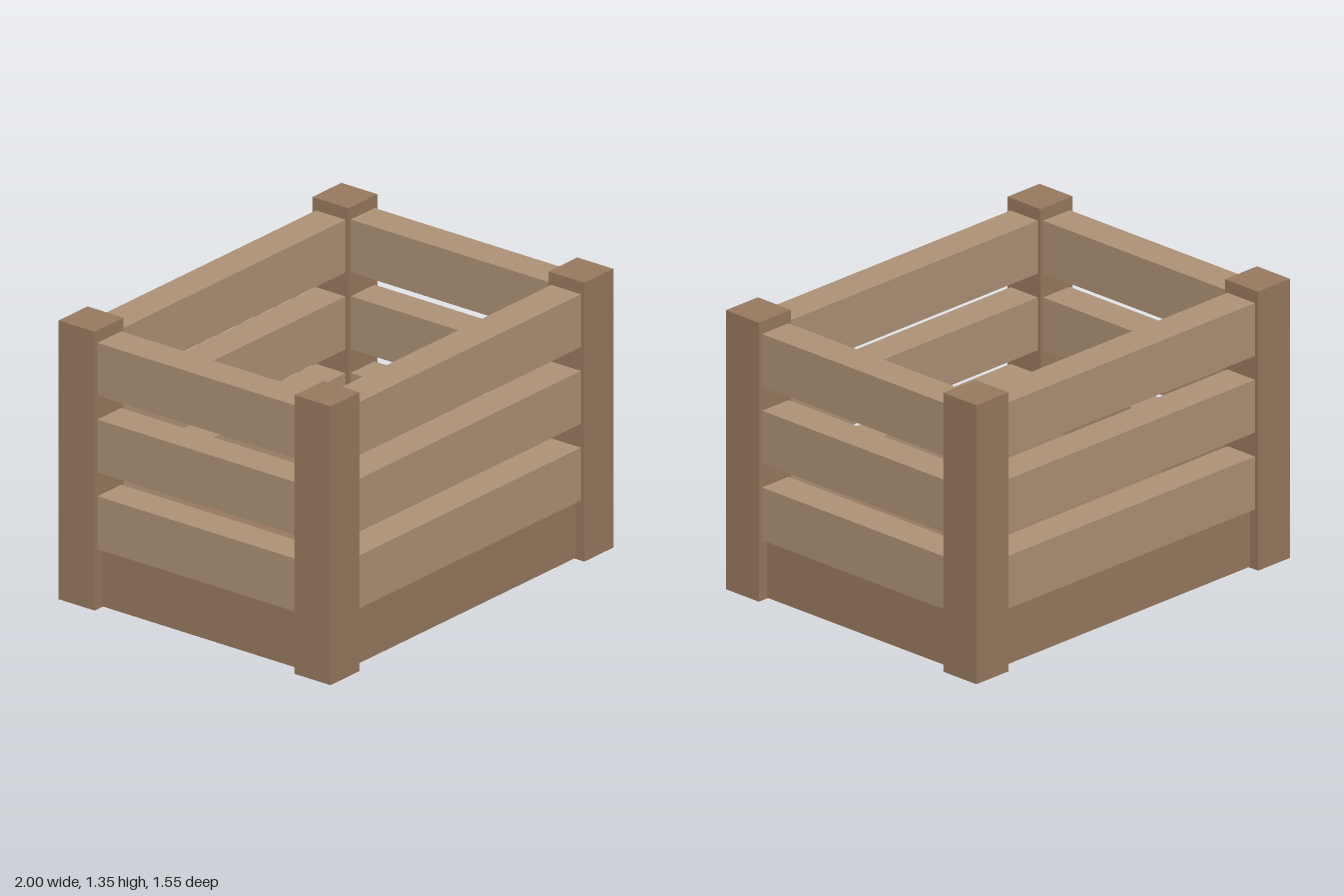
import * as THREE from 'three';

export function createModel() {
  const model = new THREE.Group();
  model.name = 'slattedCrate';

  const darkWood = new THREE.MeshStandardMaterial({ color: 0x9a7b60 });
  const lightWood = new THREE.MeshStandardMaterial({ color: 0xb09478 });

  // Box with its underside at the given y
  const addBox = (name, material, [w, h, d], [x, y, z]) => {
    const mesh = new THREE.Mesh(new THREE.BoxGeometry(w, h, d), material);
    mesh.name = name;
    mesh.position.set(x, y + h / 2, z);
    model.add(mesh);
  };

  // Solid base block, its sides set back behind the slats
  addBox('base', darkWood, [1.9, 0.29, 1.45], [0, 0.005, 0]);

  // Square corner posts
  const post = 0.205, postX = 0.8975, postZ = 0.6725;
  for (const sx of [-1, 1]) {
    for (const sz of [-1, 1]) {
      addBox('cornerPost', darkWood, [post, 1.345, post], [sx * postX, 0, sz * postZ]);
    }
  }

  // Three rows of slats on all four sides, with their ends inside the posts
  const thickness = 0.168, height = 0.255;
  for (let row = 0; row < 3; row++) {
    const y = 0.29 + row * 0.37;
    for (const s of [-1, 1]) {
      addBox(s > 0 ? 'frontSlat' : 'backSlat', lightWood,
        [postX * 2, height, thickness], [0, y, s * 0.671]);
      addBox(s > 0 ? 'leftSlat' : 'rightSlat', lightWood,
        [thickness, height, postZ * 2], [s * 0.896, y, 0]);
    }
  }

  return model;
}
